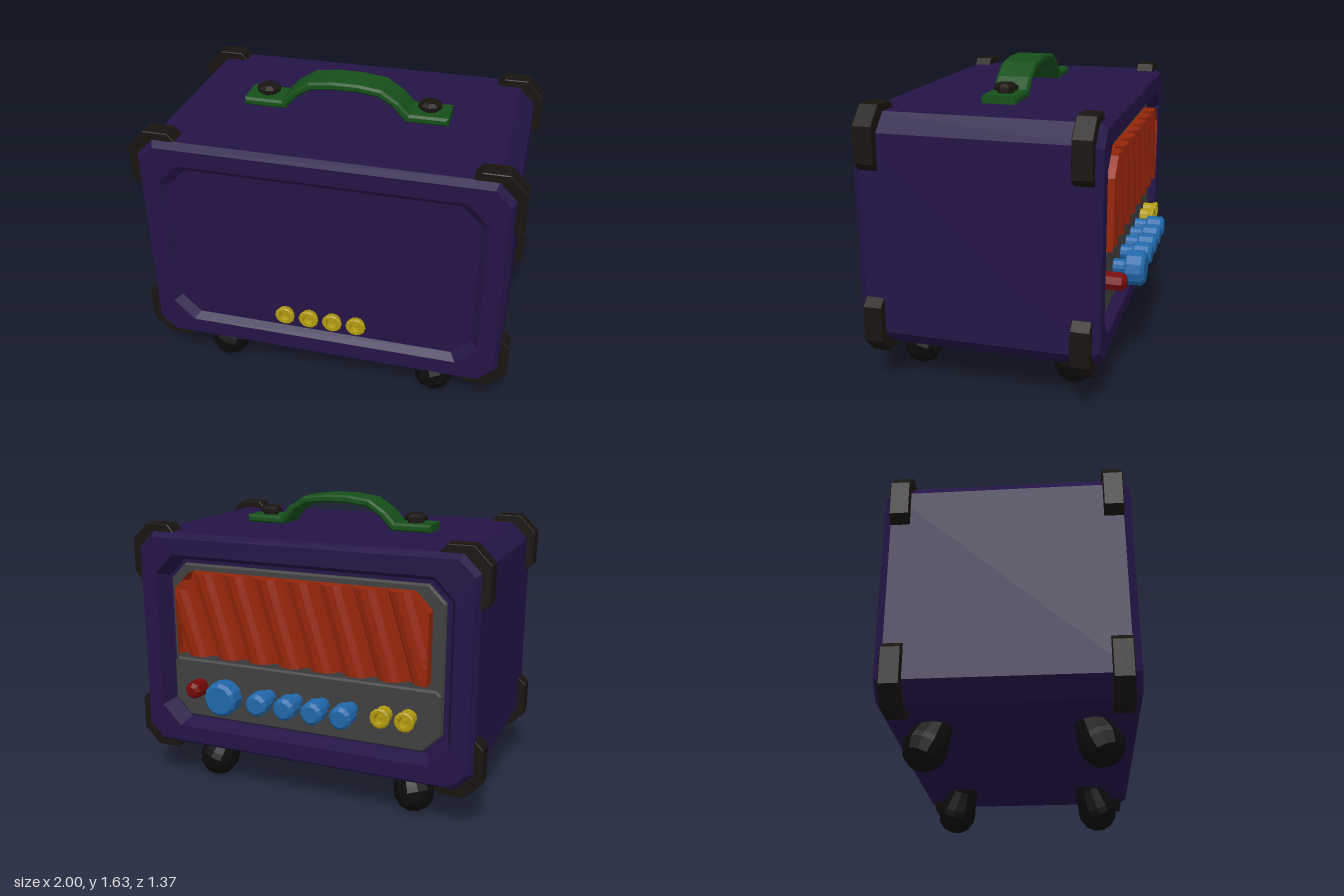
import * as THREE from 'three';

const mat = (color) => new THREE.MeshStandardMaterial({ color, flatShading: true });
const PURPLE = mat(0x241446), BLACK = mat(0x181410), RUBBER = mat(0x0b0b0b), GREEN = mat(0x154f1a);
const BLUE = mat(0x2068aa), YELLOW = mat(0xb09a10), RED = mat(0x740808), GRILLE = mat(0x96260a), GREY = mat(0x404040);
const CY = 0.843; // height of the cabinet's middle

function add(parent, name, geometry, material, x = 0, y = 0, z = 0) {
  const mesh = new THREE.Mesh(geometry, material);
  mesh.name = name;
  mesh.position.set(x, y, z);
  parent.add(mesh);
  return mesh;
}

// Rectangle with cut corners; top and bottom cuts can differ
function octagon(w, y0, y1, cb, ct = cb) {
  return [[w, y0 + cb], [w, y1 - ct], [w - ct, y1], [ct - w, y1],
    [-w, y1 - ct], [-w, y0 + cb], [cb - w, y0], [w - cb, y0]];
}

const shapeOf = (pts) => new THREE.Shape(pts.map(([x, y]) => new THREE.Vector2(x, y)));

// Extrusion with a small chamfer that stays inside the given depth and outline
function plate(pts, depth, bevel = 0.01) {
  const geo = new THREE.ExtrudeGeometry(shapeOf(pts), {
    depth: depth - 2 * bevel, bevelThickness: bevel,
    bevelSize: bevel, bevelOffset: -bevel, bevelSegments: 1,
  });
  return geo.translate(0, 0, bevel);
}

const turned = (pts, sides) => new THREE.LatheGeometry(pts.map(([r, y]) => new THREE.Vector2(r, y)), sides);

// Cabinet skin: octagonal rings from the back recess floor to the shallow front one
function cabinetGeometry() {
  const rings = [
    [0.805, 0.455, 0.10, -0.47], [0.84, 0.49, 0.11, -0.555],
    [0.93, 0.58, 0.08, -0.555], [0.955, 0.607, 0.09, -0.515],
    [0.955, 0.607, 0.09, 0.645], [0.93, 0.58, 0.08, 0.685],
    [0.84, 0.49, 0.11, 0.685], [0.802, 0.455, 0.10, 0.648],
  ];
  const pos = [], idx = [];
  for (const [w, h, c, z] of rings) {
    for (const [x, y] of octagon(w, CY - h, CY + h, c)) pos.push(x, y, z);
  }
  for (let r = 0; r < rings.length - 1; r++) {
    for (let i = 0; i < 8; i++) {
      const a = r * 8 + i, b = r * 8 + (i + 1) % 8;
      idx.push(a, b, b + 8, a, b + 8, a + 8);
    }
  }
  const last = (rings.length - 1) * 8;
  for (let i = 1; i < 7; i++) {
    idx.push(0, i + 1, i);
    idx.push(last, last + i, last + i + 1);
  }
  const indexed = new THREE.BufferGeometry();
  indexed.setAttribute('position', new THREE.Float32BufferAttribute(pos, 3));
  indexed.setIndex(idx);
  const geo = indexed.toNonIndexed();
  geo.computeVertexNormals();
  return geo;
}

// Slanted ribs with grooves between, trimmed to a panel with cut upper corners
function grilleGeometry() {
  const pitch = 0.185, y0 = 0.78, height = 0.465;
  const pts = [[-1.11, 0.48]];
  for (let i = -6; i < 6; i++) {
    const x = i * pitch;
    pts.push([x, 0.515], [x + 0.035, 0.515], [x + 0.055, 0.55], [x + 0.09, 0.565], [x + 0.13, 0.565], [x + 0.165, 0.55]);
  }
  pts.push([1.11, 0.515], [1.11, 0.48]);
  const geo = new THREE.ExtrudeGeometry(shapeOf(pts), { depth: height, steps: 10, bevelEnabled: false });
  geo.rotateX(-Math.PI / 2).translate(0, y0, 0);
  const p = geo.attributes.position;
  for (let i = 0; i < p.count; i++) {
    const y = p.getY(i);
    const limit = 0.715 - Math.max(0, y - (y0 + height - 0.09));
    const x = p.getX(i) + 0.3 * (y - y0 - height / 2);
    p.setX(i, THREE.MathUtils.clamp(x, -limit, limit));
  }
  geo.computeVertexNormals();
  return geo;
}

// Round-ended foot, tilted outwards about its top
function footGeometry(sx, sz) {
  const geo = turned([[0, -0.254], [0.05, -0.243], [0.09, -0.21], [0.112, -0.15], [0.108, -0.115], [0.082, 0], [0.08, 0.05]], 12);
  const down = new THREE.Vector3(0.35 * sx, -1, 0.35 * sz).normalize();
  return geo.applyQuaternion(new THREE.Quaternion().setFromUnitVectors(new THREE.Vector3(0, -1, 0), down));
}

const knobGeometry = (r) => turned([[0.04, -0.03], [0.04, 0.052], [r - 0.01, 0.052], [r, 0.062],
  [r, 0.138], [r - 0.018, 0.155], [0, 0.155]], 12).rotateX(-Math.PI / 2);

const jackGeometry = () => turned([[0.045, -0.03], [0.045, 0.035], [0.054, 0.06], [0.054, 0.066], [0.046, 0.072],
  [0.03, 0.072], [0.024, 0.045], [0.012, 0.045], [0.01, 0.055], [0, 0.055]], 12);

export function createModel() {
  const model = new THREE.Group();
  model.name = 'amplifier';
  add(model, 'cabinet', cabinetGeometry(), PURPLE);

  // Corner guards, mirrored to all four edges, near the front and the back
  const corner = [[0.738, 0.60], [0.78, 0.646], [0.91, 0.646], [1.0, 0.555], [1.0, 0.37], [0.95, 0.326]];
  for (const sx of [-1, 1]) {
    for (const sy of [-1, 1]) {
      const pts = corner.map(([x, y]) => [sx * x, sy * y]);
      for (const z of [0.548, -0.518]) add(model, 'cornerGuard', plate(pts, 0.1, 0.004), BLACK, 0, CY, z);
    }
  }

  // Feet
  for (const sx of [-1, 1]) {
    add(model, 'frontFoot', footGeometry(sx, 1), RUBBER, sx * 0.555, 0.24, 0.452);
    add(model, 'backFoot', footGeometry(sx, -1), RUBBER, sx * 0.555, 0.24, -0.312);
  }

  // Carrying handle: one half outlined, then mirrored
  const upper = [[0.55, 1.448], [0.55, 1.492], [0.345, 1.492], [0.29, 1.55], [0.195, 1.612], [0.07, 1.628]];
  const lower = [[0.07, 1.584], [0.18, 1.57], [0.255, 1.525], [0.325, 1.448]];
  const flip = (pts) => pts.map(([x, y]) => [-x, y]).reverse();
  add(model, 'handle', plate([...upper, ...flip(upper), ...flip(lower), ...lower], 0.19, 0.012), GREEN, 0, 0, -0.03);
  for (const sx of [-1, 1]) {
    const screw = turned([[0.045, 0], [0.045, 0.015], [0.064, 0.018], [0.064, 0.036], [0.042, 0.052], [0, 0.052]], 9);
    add(model, 'handleScrew', screw, BLACK, sx * 0.44, 1.489, 0.06);
  }

  // Front sockets
  for (const x of [-0.2, -0.068, 0.062, 0.192]) {
    add(model, 'frontSocket', jackGeometry().rotateX(Math.PI / 2), YELLOW, x, 0.475, 0.613);
  }

  // Back panel, grille and control plate
  const back = new THREE.Group();
  back.name = 'backPanel';
  model.add(back);
  add(back, 'panelFrame', plate(octagon(0.78, 0.42, 1.28, 0.09), 0.04), GREY, 0, 0, -0.495);
  add(back, 'grille', grilleGeometry(), GRILLE);
  add(back, 'controlPlate', plate(octagon(0.775, 0.41, 0.745, 0.09, 0.025), 0.06), GREY, 0, 0, -0.515);

  // Controls
  for (const x of [-0.295, -0.135, 0.022, 0.182]) add(back, 'knob', knobGeometry(0.062), BLUE, x, 0.59, -0.53);
  add(back, 'mainKnob', knobGeometry(0.094), BLUE, 0.4, 0.59, -0.53);
  for (const x of [-0.61, -0.48]) {
    add(back, 'backSocket', jackGeometry().rotateX(-Math.PI / 2), YELLOW, x, 0.59, -0.528);
  }
  const lamp = turned([[0.05, -0.03], [0.05, 0.055], [0.046, 0.07], [0.028, 0.09], [0, 0.09]], 8);
  add(back, 'lamp', lamp.rotateX(-Math.PI / 2), RED, 0.61, 0.59, -0.53);
  return model;
}
